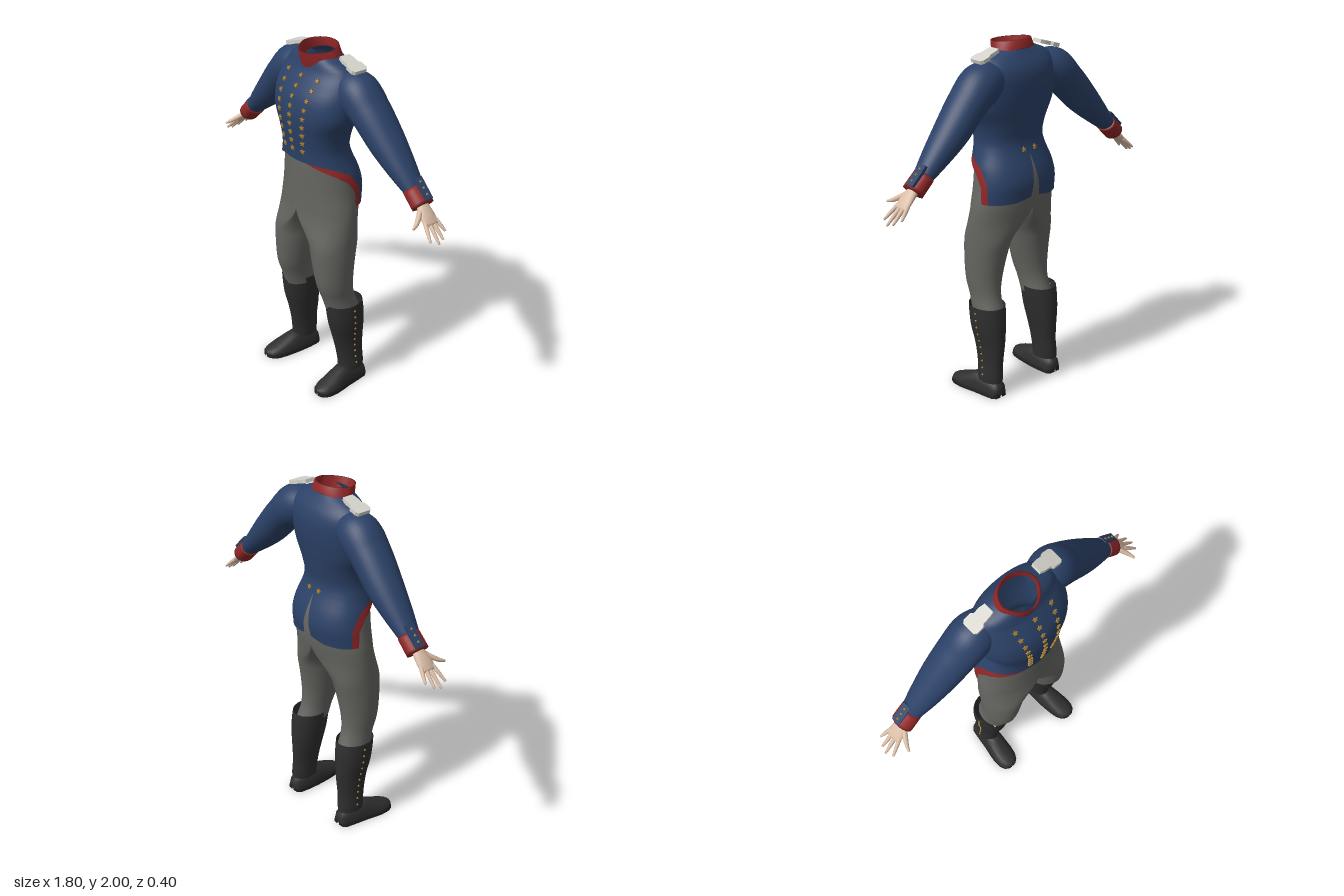
import * as THREE from 'three';

const mat = (name, color, side = THREE.FrontSide) => {
  const m = new THREE.MeshStandardMaterial({ color, side });
  m.name = name;
  return m;
};
const V = (x, y, z) => new THREE.Vector3(x, y, z);
const lerp = THREE.MathUtils.lerp;
const TAU = Math.PI * 2;

// Smooth lookup through rows that start with an ascending key
function profile(rows) {
  const size = rows[0].length - 1;
  const spline = new THREE.CubicInterpolant(rows.map(r => r[0]), rows.flatMap(r => r.slice(1)), size);
  return t => Array.from(spline.evaluate(t));
}

// Grid surface from fn(u, v); u runs around, v runs along
function surface(nu, nv, fn, closed = true) {
  const pos = [], idx = [], n = closed ? nu : nu + 1;
  for (let i = 0; i <= nv; i++)
    for (let j = 0; j < n; j++) pos.push(...fn(j / nu, i / nv).toArray());
  for (let i = 0; i < nv; i++)
    for (let j = 0; j < nu; j++) {
      const k = (j + 1) % n, a = i * n + j, b = i * n + k, c = b + n, d = a + n;
      idx.push(a, b, c, a, c, d);
    }
  const g = new THREE.BufferGeometry();
  g.setAttribute('position', new THREE.Float32BufferAttribute(pos, 3));
  g.setIndex(idx);
  g.computeVertexNormals();
  return g;
}

// Tapered limb through rows [x, y, z, thickness radius, z radius], closed at both ends
function limb(rows, nu = 24, nv = 24) {
  const path = new THREE.CatmullRomCurve3(rows.map(r => V(r[0], r[1], r[2])));
  const radii = profile(rows.map((r, i) => [i / (rows.length - 1), r[3], r[4]]));
  return surface(nu, nv + 2, (u, v) => {
    const k = THREE.MathUtils.clamp((v * (nv + 2) - 1) / nv, 0, 1);
    const end = v === 0 || v === 1 ? 0.01 : 1;
    const T = path.getTangent(k);
    const B = V(0, 0, 1).addScaledVector(T, -T.z).normalize();
    const N = B.clone().cross(T);
    const [r, rz] = radii(k);
    return path.getPoint(k).addScaledVector(N, r * end * Math.cos(u * TAU))
      .addScaledVector(B, rz * end * Math.sin(u * TAU));
  });
}

// Jacket rows: y, half width, front z, back z
const jacket = profile([
  [1.10, .264, .16, -.19], [1.16, .262, .16, -.195], [1.24, .256, .162, -.205], [1.32, .242, .164, -.187],
  [1.395, .217, .162, -.155], [1.46, .203, .167, -.138], [1.55, .217, .18, -.15], [1.65, .262, .187, -.167],
  [1.75, .272, .168, -.18], [1.83, .262, .122, -.178], [1.88, .24, .088, -.16], [1.92, .2, .074, -.13], [1.95, .125, .066, -.108]]);
const pow = (s, p) => Math.sign(s) * Math.abs(s) ** p;
function jacketPoint(th, y) {
  const [w, f, b] = jacket(y);
  return V(w * pow(Math.sin(th), .92), y, (f + b) / 2 + (f - b) / 2 * pow(Math.cos(th), .92));
}

// Leg rows: y, inner x, outer x, front z, back z
const leg = profile([
  [.5, .11, .265, .08, -.12], [.58, .105, .26, .105, -.092], [.65, .09, .266, .13, -.086], [.76, .065, .271, .146, -.097],
  [.9, .034, .272, .155, -.125], [1, .014, .27, .155, -.152], [1.1, 0, .263, .152, -.177], [1.2, 0, .245, .15, -.183],
  [1.3, 0, .228, .15, -.165], [1.38, 0, .209, .148, -.13], [1.45, 0, .193, .14, -.11]]);
function legPoint(a, y) {
  const [xi, xo, f, b] = leg(y);
  const k = 1 - THREE.MathUtils.smoothstep(y, .88, 1.1);
  const half = xo * Math.max(Math.sin(a), 0);
  const round = (xi + xo) / 2 + (xo - xi) / 2 * Math.sin(a);
  return V(lerp(half, round, k), y, (f + b) / 2 + (f - b) / 2 * Math.cos(a));
}

const boot = profile([
  [.06, .16, .272, .02, -.145], [.1, .157, .274, .014, -.148], [.2, .15, .268, .024, -.145], [.3, .135, .272, .045, -.15],
  [.4, .118, .288, .07, -.15], [.48, .11, .292, .082, -.145], [.535, .106, .291, .087, -.137]]);

// Foot rows: z, centre x, half width, height
const footRows = [
  [-.156, .215, .002, .04], [-.153, .215, .034, .06], [-.135, .215, .05, .088], [-.07, .217, .058, .105], [0, .222, .062, .115],
  [.05, .229, .065, .096], [.1, .235, .066, .074], [.15, .239, .06, .055], [.18, .241, .045, .044], [.195, .242, .024, .035], [.2, .242, .002, .028]];
const foot = (grow, height) => surface(24, footRows.length - 1, (u, v) => {
  const [z, x, w, h] = footRows[Math.round(v * (footRows.length - 1))];
  const s = Math.sin(u * TAU);
  return V(x + (w + grow) * pow(Math.cos(u * TAU), .8), height ? (s > 0 ? height * Math.min(1, 3 * s) : 0) : .012 + (s > 0 ? (h - .012) * s ** .9 : 0), z);
});

// Point along a list of [angle, y] pairs
const along = (pts, u) => {
  const t = u * (pts.length - 1), i = Math.min(Math.floor(t), pts.length - 2);
  return [0, 1].map(c => lerp(pts[i][c], pts[i + 1][c], t - i));
};
const edgeInner = [[.4, 1.395], [.85, 1.388], [1.3, 1.367], [1.65, 1.33], [1.88, 1.25], [1.96, 1.14]];
const edgeOuter = [[.4, 1.393], [.8, 1.367], [1.2, 1.335], [1.5, 1.295], [1.68, 1.23], [1.75, 1.14]];
const tailHem = [...edgeInner, [2.3, 1.14], [2.7, 1.145], [3.05, 1.165]];

function starGeometry() {
  const s = new THREE.Shape(Array.from({ length: 10 }, (_, i) => {
    const r = i % 2 ? .007 : .015, a = i * Math.PI / 5 + Math.PI / 2;
    return new THREE.Vector2(r * Math.cos(a), r * Math.sin(a));
  }));
  return new THREE.ExtrudeGeometry(s, { depth: .009, bevelEnabled: false });
}

export function createModel() {
  const D = THREE.DoubleSide;
  const blue = mat('jacketBlue', 0x2b4167, D), red = mat('trimRed', 0x902626, D), grey = mat('trouserGrey', 0x656561, D);
  const black = mat('bootBlack', 0x2e2e2e, D), sole = mat('soleBlack', 0x212121), skin = mat('skin', 0xdabda6);
  const white = mat('epauletteWhite', 0xd4d4cc), gold = mat('buttonGold', 0xa67e30);
  const model = new THREE.Group();
  const add = (parent, name, geo, material) => {
    const m = new THREE.Mesh(geo, material);
    m.name = name;
    parent.add(m);
    return m;
  };

  // Jacket body, collar and trouser seat
  add(model, 'jacketBody', surface(56, 40, (u, v) => jacketPoint(u * TAU, lerp(1.393, 1.95, v))), blue);
  const collarRows = [[.132, .083, -.116, 1.923, .034], [.114, .106, -.106, 1.987, .012], [.104, .096, -.096, 1.987, .012], [.112, .07, -.1, 1.923, .03]];
  add(model, 'collar', surface(48, 3, (u, v) => {
    const [w, f, b, y, tilt] = collarRows[Math.round(v * 3)], c = Math.cos(u * TAU);
    return V(w * Math.sin(u * TAU) * (1 - .2 * Math.max(c, 0)), y - tilt * c, (f + b) / 2 + (f - b) / 2 * c);
  }), red);
  add(model, 'trouserSeat', surface(48, 16, (u, v) => {
    const y = lerp(1.1, 1.45, v), p = legPoint(u * TAU, y);
    return u > .5 ? legPoint(TAU - u * TAU, y).multiply(V(-1, 1, 1)) : p;
  }), grey);

  // Star buttons in three tapering columns, plus two at the back waist
  const star = starGeometry();
  const pin = (th, y) => {
    const b = add(model, 'jacketButton', star, gold);
    const p = jacketPoint(th, y);
    const n = jacketPoint(th + .02, y).sub(p).cross(jacketPoint(th, y + .01).sub(p)).normalize();
    b.position.copy(p).addScaledVector(n, -.001);
    b.lookAt(p.clone().add(n));
  };
  for (let i = 0; i < 9; i++) {
    const y = lerp(1.85, 1.46, i / 8), x = lerp(.118, .074, i / 8);
    const th = Math.asin((x / jacket(y)[0]) ** (1 / .92));
    [-th, 0, th].forEach(a => pin(a, y));
  }
  [-.16, .16].forEach(a => pin(Math.PI + a, 1.42));

  // Everything that comes in pairs
  const buildSide = sign => {
    const side = new THREE.Group();
    side.name = sign > 0 ? 'leftSide' : 'rightSide';
    side.scale.x = sign;
    model.add(side);

    // Coat tail with back vent, and its red edging
    add(side, 'coatTail', surface(64, 10, (u, v) => {
      const [th, y] = along(tailHem, u);
      return jacketPoint(lerp(th, th + (Math.PI - 3.05) * (th / 3.05) ** 8, v), lerp(y, 1.4, v));
    }, false), blue);
    add(side, 'tailEdging', surface(40, 3, (u, v) => {
      const a = along(edgeOuter, u), b = along(edgeInner, u);
      return jacketPoint(lerp(a[0], b[0], v), lerp(a[1], b[1], v));
    }, false), red);

    // Sleeve, cuff and buttoned cuff flap
    add(side, 'sleeve', limb([[.16, 1.82, -.05, .085, .09], [.255, 1.795, -.055, .115, .115], [.35, 1.722, -.06, .1, .112],
      [.476, 1.591, -.07, .089, .1], [.585, 1.488, -.075, .068, .08], [.68, 1.4, -.08, .045, .057]], 32, 32), blue);
    add(side, 'cuff', limb([[.668, 1.409, -.08, .05, .062], [.705, 1.375, -.08, .051, .063], [.742, 1.341, -.08, .052, .063]], 28, 6), red);
    const flap = new THREE.Group();
    flap.name = 'cuffFlap';
    flap.position.set(.722, 1.425, -.092);
    flap.rotation.z = -.764;
    side.add(flap);
    add(flap, 'flapCloth', new THREE.BoxGeometry(.125, .018, .05), blue);
    for (let i = -1; i <= 1; i++) add(flap, 'flapButton', new THREE.SphereGeometry(.007, 8, 6), gold).position.set(i * .036, .01, 0);

    // Hand: palm plus fanned fingers; s is the distance down the arm
    const at = (s, z, r, rz) => [.73 + s * .72, 1.353 - s * .69, z, r, rz];
    const hand = new THREE.Group();
    hand.name = 'hand';
    side.add(hand);
    add(hand, 'palm', limb([at(0, -.078, .024, .032), at(.04, -.076, .023, .04), at(.085, -.074, .019, .046), at(.125, -.073, .011, .043)], 20, 12), skin);
    [[.1, -.04, .205, -.013], [.105, -.064, .23, -.057], [.105, -.088, .215, -.093], [.09, -.108, .178, -.131]].forEach(([s0, z0, s1, z1]) => {
      const m = (s0 + s1) / 2;
      add(hand, 'finger', limb([at(s0, z0, .0115, .0115), at(m, (z0 + z1) / 2, .0105, .0105), at(s1, z1, .006, .006)], 10, 8), skin);
    });
    add(hand, 'thumb', limb([at(.025, -.06, .015, .016), at(.07, -.015, .014, .014), at(.095, .015, .011, .011), at(.11, .044, .006, .006)], 10, 8), skin);

    // Epaulette widening toward the shoulder
    const pad = new THREE.Shape([[0, -.03], [.03, -.036], [.07, -.036], [.082, -.048], [.125, -.048], [.14, -.036], [.14, .036],
      [.125, .048], [.082, .048], [.07, .036], [.03, .036], [0, .03]].map(p => new THREE.Vector2(...p)));
    const padGeo = new THREE.ExtrudeGeometry(pad, { depth: .02, bevelEnabled: false }).rotateX(-Math.PI / 2);
    const epaulette = add(side, 'epaulette', padGeo, white);
    epaulette.position.set(.148, 1.95, -.048);
    epaulette.rotation.z = -.3;

    // Trouser leg
    add(side, 'trouserLeg', surface(40, 36, (u, v) => legPoint(u * TAU, lerp(.5, 1.1, v))), grey);

    // Boot with side buttons
    add(side, 'bootShaft', surface(32, 24, (u, v) => {
      const y = lerp(.085, .535, v), [xi, xo, f, b] = boot(y), a = u * TAU;
      return V((xi + xo) / 2 + (xo - xi) / 2 * Math.sin(a), y, (f + b) / 2 + (f - b) / 2 * Math.cos(a));
    }), black);
    add(side, 'bootFoot', foot(0, 0), black);
    add(side, 'bootSole', foot(.003, .026), sole);
    for (let i = 0; i < 10; i++) {
      const y = lerp(.13, .5, i / 9);
      add(side, 'bootButton', new THREE.SphereGeometry(.0065, 8, 6), gold).position.set(boot(y)[1], y, lerp(-.064, -.03, i / 9));
    }
  };
  [1, -1].forEach(buildSide);
  return model;
}
